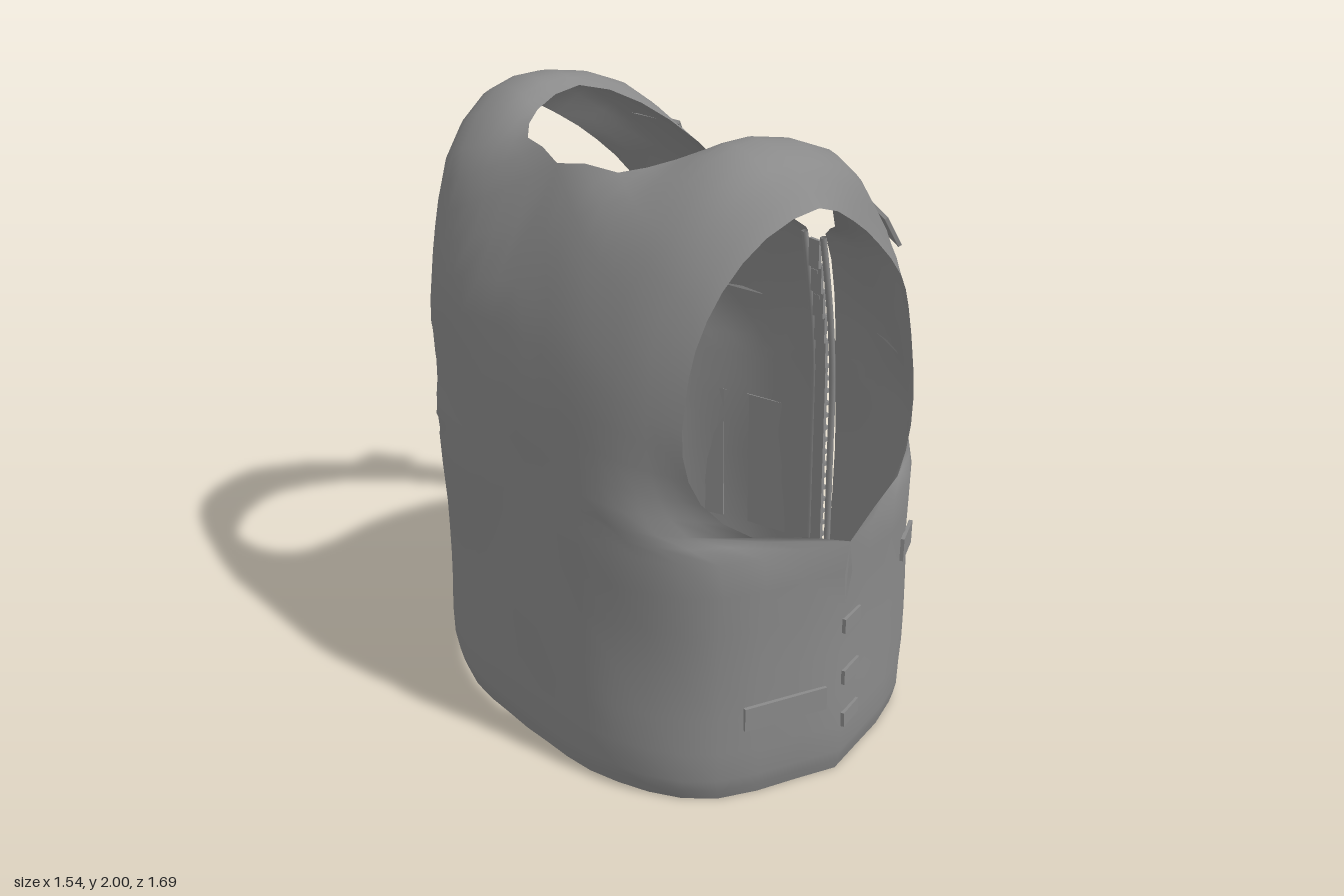
import * as THREE from 'three';
import { mergeVertices, mergeGeometries } from 'three/addons/utils/BufferGeometryUtils.js';

// Cross rows of one half: centre or neck edge, two middle points, side seam or armhole edge
const FRONT = [
  [[.6, .85, .045], [.53, .85, .36], [.32, .85, .67], [-.12, .84, .835]],
  [[.595, .93, .045], [.55, .93, .3], [.44, .92, .53], [.2, .9, .72]],
  [[.59, 1.05, .045], [.56, 1.05, .25], [.47, 1.04, .48], [.31, 1.02, .66]],
  [[.57, 1.22, .045], [.54, 1.22, .25], [.45, 1.22, .46], [.33, 1.2, .64]],
  [[.52, 1.43, .045], [.48, 1.43, .25], [.41, 1.43, .47], [.3, 1.42, .64]],
  [[.42, 1.52, .19], [.41, 1.54, .33], [.36, 1.55, .5], [.25, 1.53, .65]],
  [[.26, 1.72, .3], [.26, 1.75, .42], [.22, 1.73, .55], [.12, 1.67, .67]],
  [[.08, 1.87, .37], [.08, 1.92, .47], [.05, 1.89, .6], [-.02, 1.78, .7]],
];
const BACK = [
  [[-.16, 1.97, .38], [-.18, 2, .45], [-.18, 1.97, .6], [-.18, 1.86, .725]],
  [[-.36, 1.94, .33], [-.36, 1.98, .46], [-.37, 1.94, .6], [-.36, 1.81, .71]],
  [[-.48, 1.9, .22], [-.54, 1.84, .4], [-.54, 1.79, .56], [-.49, 1.68, .68]],
  [[-.53, 1.885, 0], [-.63, 1.72, .28], [-.63, 1.62, .48], [-.56, 1.52, .65]],
  [[-.7, 1.55, 0], [-.71, 1.5, .28], [-.67, 1.42, .48], [-.59, 1.36, .64]],
  [[-.75, 1.3, 0], [-.74, 1.28, .27], [-.69, 1.24, .48], [-.6, 1.2, .64]],
  [[-.755, 1.08, 0], [-.74, 1.07, .28], [-.68, 1.06, .5], [-.55, 1.04, .66]],
  [[-.76, .95, 0], [-.74, .95, .3], [-.66, .94, .55], [-.42, .92, .74]],
  [[-.76, .85, 0], [-.73, .85, .36], [-.55, .85, .68], [-.12, .84, .835]],
];

// Straight lower body: repeat the waist row down to the hem, drawn in slightly
const lower = (row, y) => row.map(([x, , z]) => {
  const k = y === 0 ? .965 : .99;
  return [x > 0 ? x - (y === 0 ? .01 : 0) : x * k, y, z > .1 ? z * k : z];
});
const LEVELS = [0, .08, .3, .6];
const ROWS = [
  ...LEVELS.map(y => lower(FRONT[0], y)), ...FRONT,
  ...BACK, ...LEVELS.slice().reverse().map(y => lower(BACK[8], y)),
];
const rowCurves = ROWS.map(r => new THREE.CatmullRomCurve3(r.map(p => new THREE.Vector3(...p))));

// Point on the shell: u counts rows, t runs from centre to side
function surface(u, t, side = 1) {
  const curve = new THREE.CatmullRomCurve3(rowCurves.map(c => c.getPoint(t)));
  const p = curve.getPoint(u / (ROWS.length - 1));
  p.z = Math.max(p.z, p.x > .4 ? .045 : 0) * side;
  p.y = THREE.MathUtils.clamp(p.y, 0, 2);
  // soft cloth ripples
  const k = 1 + .008 * Math.sin(p.y * 9 + p.x * 4) * Math.sin(p.z * 7 + 1);
  p.x *= k;
  p.z *= k;
  return p;
}

function halfShell(side) {
  const cols = 10, steps = (ROWS.length - 1) * 2, pos = [], idx = [];
  for (let i = 0; i <= steps; i++)
    for (let j = 0; j <= cols; j++) pos.push(...surface(i / 2, j / cols, side).toArray());
  for (let i = 0; i < steps; i++)
    for (let j = 0; j < cols; j++) {
      const a = i * (cols + 1) + j, b = a + cols + 1;
      if (side > 0) idx.push(a, b, b + 1, a, b + 1, a + 1);
      else idx.push(a, b + 1, b, a, a + 1, b + 1);
    }
  const g = new THREE.BufferGeometry();
  g.setAttribute('position', new THREE.Float32BufferAttribute(pos, 3));
  g.setIndex(idx);
  return g;
}

export function createModel() {
  const vest = new THREE.Group();
  vest.name = 'vest';
  const fabric = new THREE.MeshStandardMaterial({ color: 0x8a8a8a, side: THREE.DoubleSide });
  fabric.name = 'grey fabric';
  const add = (name, geo, parent = vest) => {
    const m = new THREE.Mesh(geo, fabric);
    m.name = name;
    parent.add(m);
    return m;
  };

  // Body: both halves welded along the back and sides
  const shell = mergeVertices(mergeGeometries([halfShell(1), halfShell(-1)]), 1e-3);
  shell.computeVertexNormals();
  add('vestShell', shell);

  // Zip: tape, staggered teeth and folded fabric edges following the front line
  const edge = y => y < .85 ? .59 : .59 - .07 * ((y - .85) / .58) ** 1.5;
  const zip = new THREE.Group();
  zip.name = 'zip';
  vest.add(zip);
  for (let i = 0; i < 14; i++) {
    const y = .07 + i * .095;
    add('zipTape', new THREE.BoxGeometry(.012, .1, .05), zip).position.set(edge(y) - .02, y + .045, 0);
  }
  for (let i = 0; i < 54; i++) {
    const y = .08 + i * .024;
    add('zipTooth', new THREE.BoxGeometry(.02, .014, .028), zip)
      .position.set(edge(y) - .008, y, i % 2 ? .008 : -.008);
  }
  for (const s of [1, -1]) {
    const path = new THREE.CatmullRomCurve3(
      [.02, .3, .6, .85, 1.05, 1.25, 1.42].map(y => new THREE.Vector3(edge(y) - .008, y, s * .045)));
    add('zipEdge', new THREE.TubeGeometry(path, 18, .012, 5), zip);
  }

  // Pouches: tapered block with a sloping flap, profile in depth and height
  const profile = new THREE.Shape([[-.1, .17], [.03, .17], [.08, .24], [.085, .56], [.07, .63],
    [-.02, .68], [-.1, .7]].map(p => new THREE.Vector2(...p)));
  const lid = new THREE.Shape([[-.1, .7], [-.02, .7], [.08, .645], [.095, .57], [.085, .57],
    [.07, .63], [-.02, .68]].map(p => new THREE.Vector2(...p)));
  for (const [x, z, turn] of [[.655, -.27, .29], [.545, -.555, .42]]) {
    const pouch = new THREE.Group();
    pouch.name = 'pouch';
    pouch.position.set(x, 0, z);
    pouch.rotation.y = turn;
    vest.add(pouch);
    add('pouchBody', new THREE.ExtrudeGeometry(profile, { depth: .19, bevelEnabled: false }), pouch)
      .position.z = -.095;
    add('pouchFlap', new THREE.ExtrudeGeometry(lid, { depth: .21, bevelEnabled: false }), pouch)
      .position.z = -.105;
  }

  // Flat tabs laid on the shell, facing along its outward normal
  function tab(name, u, t, side, w, h, roll = 0, lift = .005, tilt = 0) {
    const p = surface(u, t, side);
    const du = surface(u + .1, t, side).sub(surface(u - .1, t, side));
    const dt = surface(u, Math.min(t + .03, 1), side).sub(surface(u, t - .03, side));
    const n = du.cross(dt).multiplyScalar(side).normalize();
    const m = add(name, new THREE.BoxGeometry(w, h, .012));
    m.position.copy(p).addScaledVector(n, lift);
    m.lookAt(m.position.clone().add(n));
    m.rotateZ(roll);
    m.rotateX(tilt);
  }
  for (const s of [1, -1]) {
    for (const u of [1.6, 2.2, 2.8]) tab('sideTab', u, .97, s, .1, .05);
    tab('rearStrap', 22, .86, s, .28, .08);
    tab('frontStrap', 3.1, .7, s, .13, .08);
  }
  tab('chestWelt', 6.6, .5, 1, .28, .02, .02, .006, .5);
  tab('chestWelt', 6.45, .5, -1, .36, .025, .08, .006, .5);
  tab('shoulderPatch', 9.5, .6, 1, .16, .11, .1);
  tab('shoulderFlap', 9.9, .6, -1, .18, .13, .2, .03, -.45);
  return vest;
}
